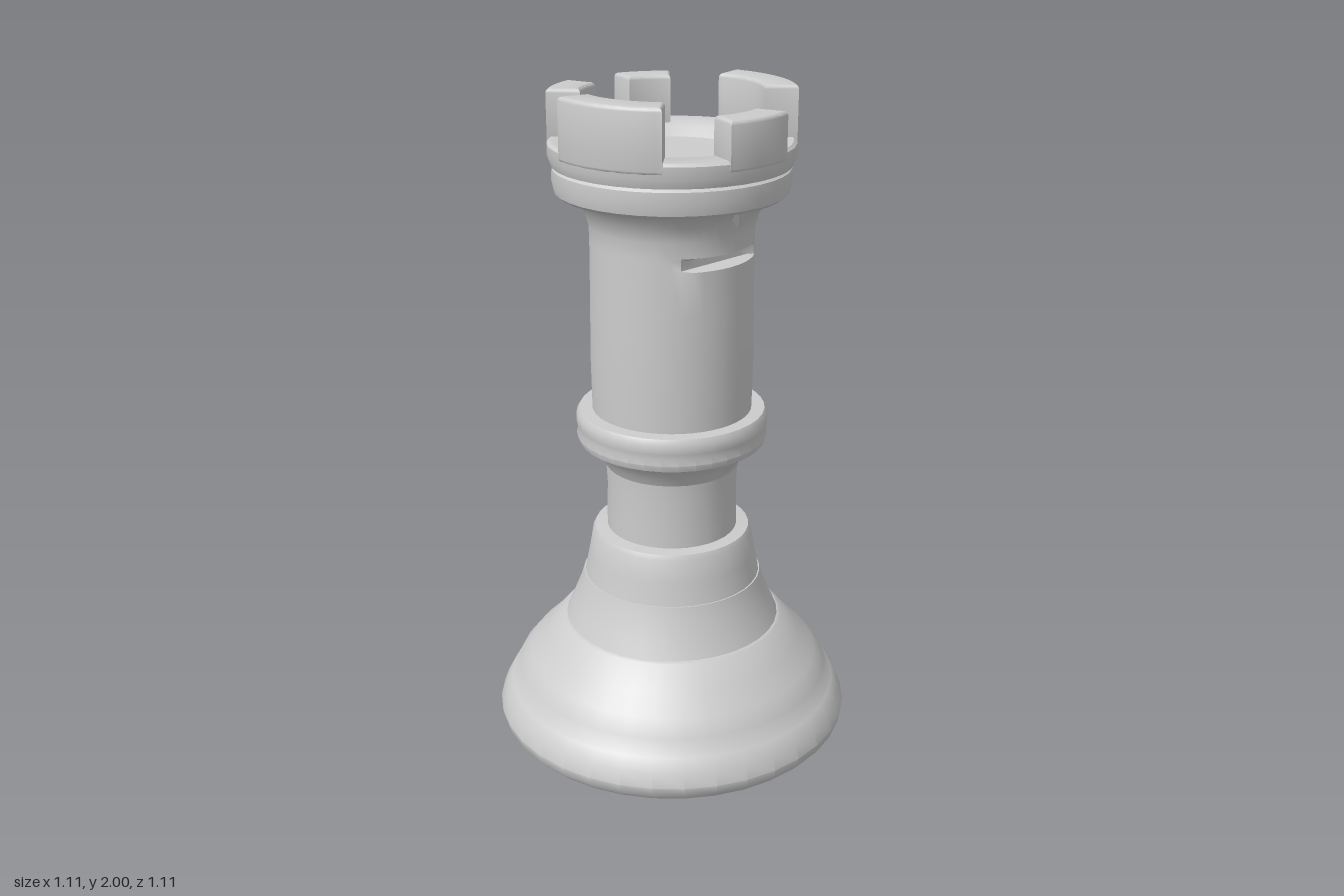
import * as THREE from 'three';
import { toCreasedNormals } from 'three/addons/utils/BufferGeometryUtils.js';

const stone = new THREE.MeshStandardMaterial({ color: 0xcccccc });
stone.name = 'pale grey stone';

export function createModel() {
  const group = new THREE.Group();
  group.name = 'rook';

  const add = (name, geometry, crease = 0.6) => {
    const mesh = new THREE.Mesh(toCreasedNormals(geometry, crease), stone);
    mesh.name = name;
    group.add(mesh);
    return mesh;
  };
  const turned = (points, segments = 36) =>
    new THREE.LatheGeometry(points.map(([r, y]) => new THREE.Vector2(r, y)), segments);

  // Rounded foot with a thin worn edge
  add('foot', turned([
    [0, 0], [0.53, 0], [0.548, 0.02], [0.554, 0.05], [0.538, 0.09], [0.515, 0.13],
    [0.508, 0.135], [0.49, 0.18], [0.455, 0.225], [0.40, 0.28], [0.345, 0.345], [0.335, 0.35], [0.2, 0.35],
  ]));

  // Flared courses of stone, each set in slightly from the one below
  add('lowerCourse', turned([[0.2, 0.345], [0.336, 0.346], [0.312, 0.4], [0.288, 0.46], [0.276, 0.5], [0.2, 0.5]]));
  add('upperCourse', turned([[0.2, 0.495], [0.272, 0.5], [0.258, 0.57], [0.246, 0.64], [0.238, 0.655], [0.19, 0.66]]));

  // Narrow neck
  add('neck', turned([[0.2, 0.6], [0.2, 0.7], [0.198, 0.8], [0.203, 0.88]]));

  // Collar
  add('collar', turned([
    [0.2, 0.86], [0.215, 0.89], [0.24, 0.925], [0.282, 0.945], [0.289, 0.965],
    [0.284, 0.985], [0.289, 1.0], [0.289, 1.03], [0.28, 1.045], [0.2, 1.048],
  ]));

  // Shaft, with a flat horizontal slot cut into each side
  const shaft = turned([
    [0.24, 1.03], [0.243, 1.2], [0.241, 1.4], [0.24, 1.525],
    [0.24, 1.53], [0.24, 1.555], [0.24, 1.565], [0.241, 1.61], [0.255, 1.655], [0.285, 1.69], [0.325, 1.71],
  ], 48);
  const p = shaft.attributes.position;
  for (let i = 0; i < p.count; i++) {
    const y = p.getY(i);
    if (y > 1.527 && y < 1.56) p.setX(i, THREE.MathUtils.clamp(p.getX(i), -0.187, 0.187));
  }
  shaft.computeVertexNormals();
  add('shaft', shaft);

  // Crown: moulding, parapet and sunken deck
  add('crownMoulding', turned([
    [0.2, 1.69], [0.325, 1.7], [0.338, 1.71], [0.344, 1.74], [0.342, 1.775], [0.33, 1.785], [0.2, 1.785],
  ]));
  add('parapet', turned([
    [0.3, 1.775], [0.345, 1.785], [0.354, 1.81], [0.354, 1.845], [0.345, 1.853],
    [0.265, 1.853], [0.245, 1.84], [0.215, 1.815], [0, 1.81],
  ]));

  // Merlons: angular span in degrees and top height
  const bevel = 0.012;
  const merlons = [
    ['rightmostMerlon', -18, 18, 1.96],
    ['backMerlon', 48, 104, 2.0],
    ['backSideMerlon', 137, 165, 1.988],
    ['frontSideMerlon', 195, 223, 1.988],
    ['frontMerlon', 256, 312, 2.0],
  ];
  for (const [name, from, to, top] of merlons) {
    const a = THREE.MathUtils.degToRad(from), b = THREE.MathUtils.degToRad(to);
    const sector = new THREE.Shape();
    sector.absarc(0, 0, 0.356, a, b, false);
    sector.absarc(0, 0, 0.258, b, a, true);
    sector.closePath();
    const geometry = new THREE.ExtrudeGeometry(sector, {
      depth: top - 1.82 - 2 * bevel, curveSegments: 10,
      bevelEnabled: true, bevelThickness: bevel, bevelSize: bevel, bevelOffset: -bevel, bevelSegments: 3,
    });
    geometry.rotateX(-Math.PI / 2).translate(0, 1.82 + bevel, 0);
    add(name === 'rightmostMerlon' ? 'leftMerlon' : name, geometry);
  }

  // Small pointed corbels under the collar and the crown on both sides
  for (const side of [-1, 1]) {
    for (const [name, x, y, r, h] of [['collarCorbel', 0.225, 0.92, 0.06, 0.07], ['crownCorbel', 0.265, 1.675, 0.06, 0.08]]) {
      const corbel = add(name, new THREE.ConeGeometry(r, h, 8).rotateX(Math.PI));
      corbel.position.set(side * x, y, 0);
    }
  }
  return group;
}
